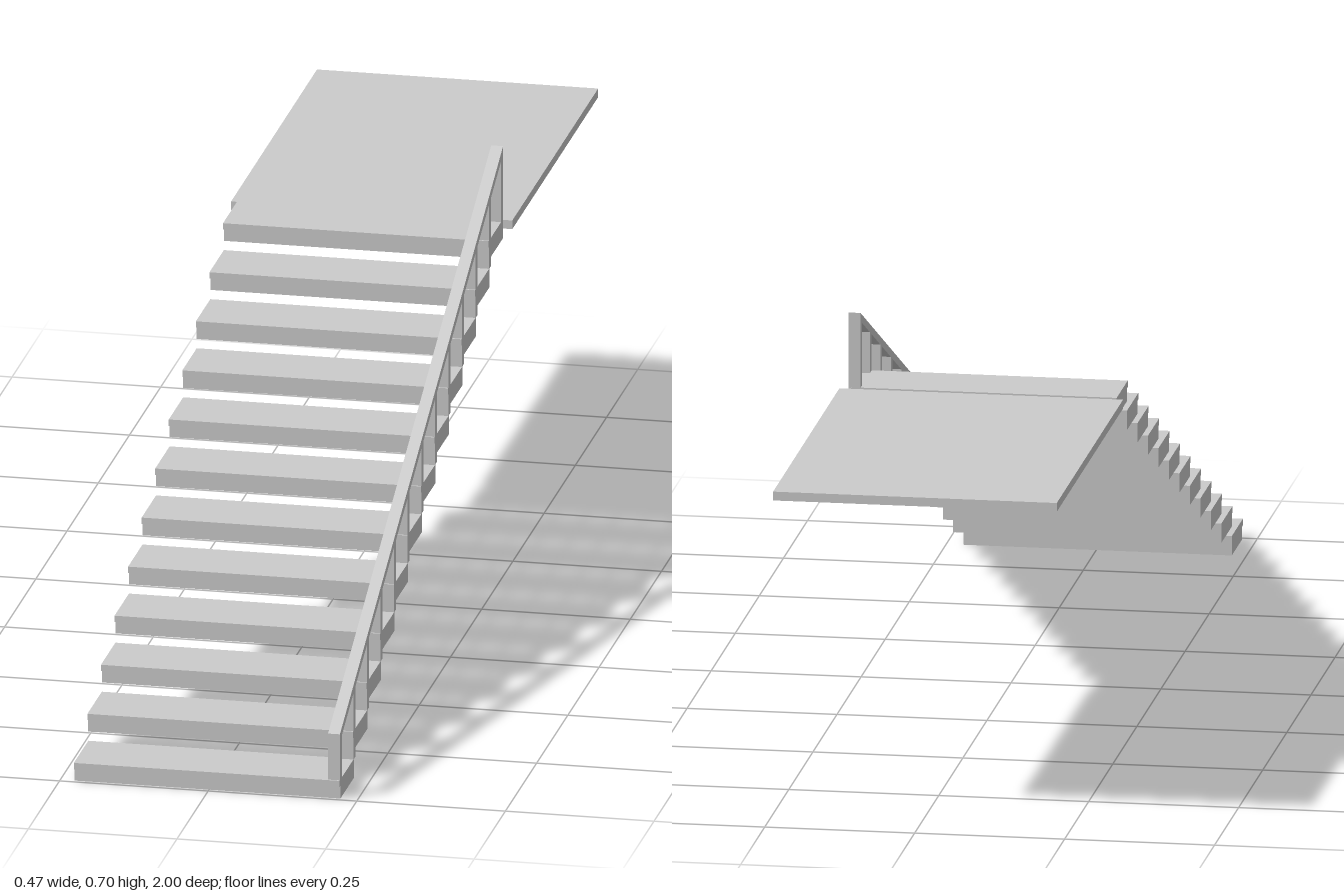
import * as THREE from 'three';

export function createModel() {
  const group = new THREE.Group();
  group.name = 'staircase';
  const material = new THREE.MeshStandardMaterial({ color: 0xcccccc, flatShading: true });

  // Box given by its limits on each axis
  const box = (name, x0, x1, y0, y1, z0, z1) => {
    const mesh = new THREE.Mesh(new THREE.BoxGeometry(x1 - x0, y1 - y0, z1 - z0), material);
    mesh.position.set((x0 + x1) / 2, (y0 + y1) / 2, (z0 + z1) / 2);
    mesh.name = name;
    group.add(mesh);
  };

  // Prism on the railing line, from [z, y] corners
  const railX0 = 0.201, railX1 = 0.221;
  const prism = (name, corners) => {
    const shape = new THREE.Shape(corners.map(([z, y]) => new THREE.Vector2(-z, y)));
    const geometry = new THREE.ExtrudeGeometry(shape, { depth: railX1 - railX0, bevelEnabled: false });
    geometry.rotateY(Math.PI / 2);
    const mesh = new THREE.Mesh(geometry, material);
    mesh.position.x = railX0;
    mesh.name = name;
    group.add(mesh);
  };

  const count = 12, run = 0.1086, rise = 0.0491;
  const nosing = 0.007, height = 0.033, postDepth = 0.016;
  const startZ = 0.997, endZ = -0.31;
  const railTop = z => 0.113 + (startZ - z) * (0.7 - 0.113) / (startZ - endZ);

  // Steps: a body with a slightly overhanging tread
  for (let i = 0; i < count; i++) {
    const front = 1 - run * i, back = 1 - nosing - run * (i + 1), y = rise * i;
    box('stepBody', -0.226, railX1, y, y + 0.022, back, front - nosing);
    box('stepTread', -0.226, railX1, y + 0.022, y + height, back, front);
  }

  // Posts, cut to the slope of the handrail, plus one at the top end
  for (let i = 0; i <= count; i++) {
    const front = i < count ? startZ - run * i : endZ + postDepth;
    const back = front - postDepth;
    const bottom = i === 0 ? 0.022 : rise * (i - 1) + height;
    prism('railingPost', [
      [front, bottom], [back, bottom],
      [back, railTop(back) - 0.006], [front, railTop(front) - 0.006],
    ]);
  }

  // Sloping handrail
  prism('handrail', [
    [startZ, railTop(startZ) - 0.014], [endZ, railTop(endZ) - 0.014],
    [endZ, railTop(endZ)], [startZ, railTop(startZ)],
  ]);

  // Upper landing
  box('landing', -0.237, 0.236, 0.556, 0.571, -1, -0.312);

  return group;
}
